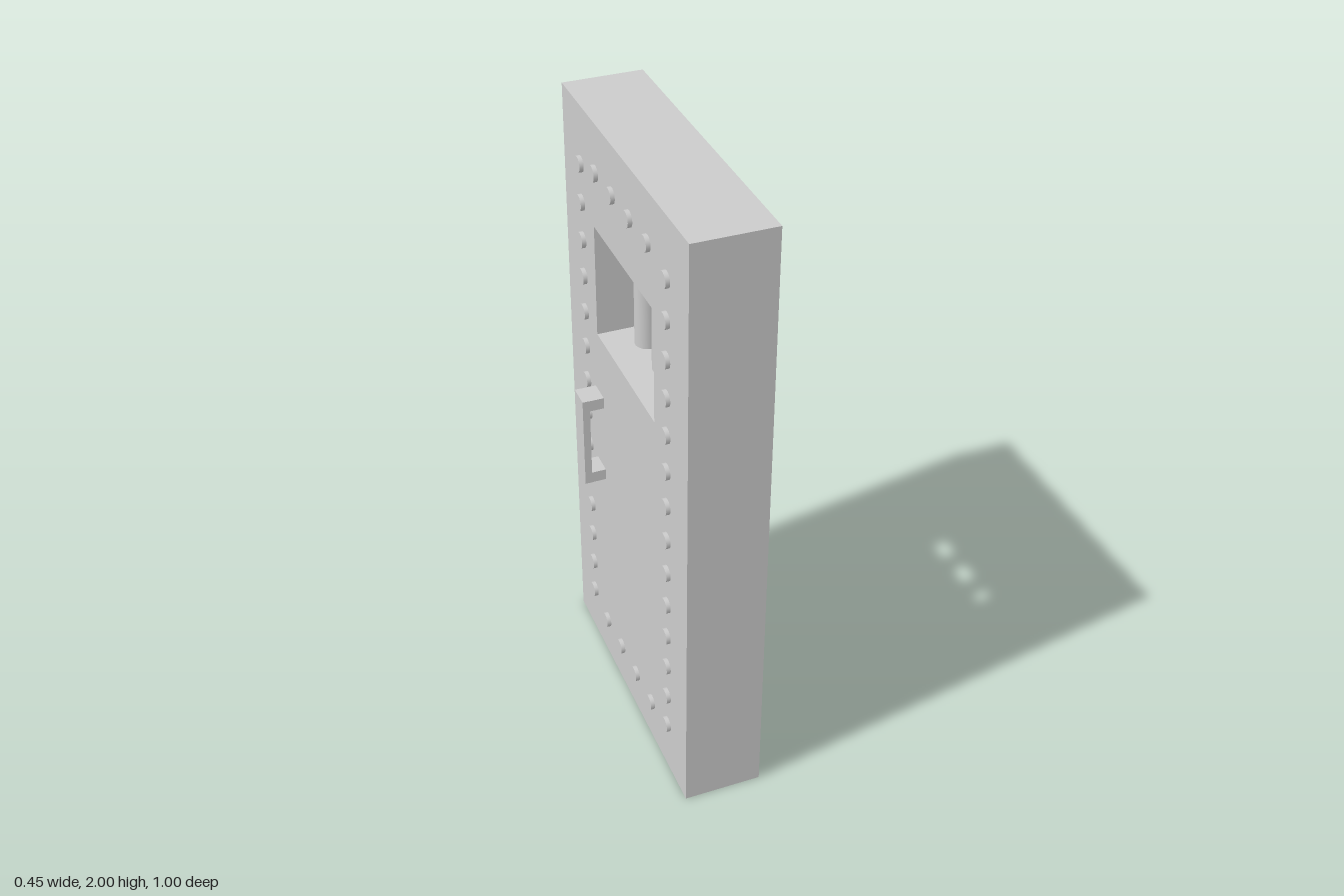
import * as THREE from 'three';

const grey = new THREE.MeshStandardMaterial({ color: 0xcccccc });

function rectPath(PathType, a0, y0, a1, y1) {
  const p = new PathType();
  p.moveTo(a0, y0);
  p.lineTo(a1, y0);
  p.lineTo(a1, y1);
  p.lineTo(a0, y1);
  p.closePath();
  return p;
}

// Rectangle with a rectangular hole, extruded by depth
function holedRect(outer, hole, depth) {
  const shape = rectPath(THREE.Shape, ...outer);
  shape.holes.push(rectPath(THREE.Path, ...hole));
  return new THREE.ExtrudeGeometry(shape, { depth, bevelEnabled: false });
}

function add(parent, name, geometry, x = 0, y = 0, z = 0) {
  const mesh = new THREE.Mesh(geometry, grey);
  mesh.name = name;
  mesh.position.set(x, y, z);
  parent.add(mesh);
  return mesh;
}

export function createModel() {
  const model = new THREE.Group();
  model.name = 'cellDoor';
  const back = -0.157, face = 0.093, frameFace = 0.142;

  // Thick door slab with the window opening
  const slab = holedRect([-0.5, 0, 0.5, 2], [-0.244, 1.29, 0.244, 1.66], face - back);
  add(model, 'doorSlab', slab.rotateY(Math.PI / 2), back);

  // Raised border on the outer face
  const border = holedRect([-0.379, 0.127, 0.379, 1.88], [-0.317, 0.19, 0.317, 1.817], frameFace - face);
  add(model, 'raisedBorder', border.rotateY(Math.PI / 2), face);

  // Window bars
  const bars = new THREE.Group();
  bars.name = 'windowBars';
  model.add(bars);
  const barGeo = new THREE.CylinderGeometry(0.038, 0.038, 0.37, 32, 1, true);
  for (const z of [-0.148, 0, 0.148]) add(bars, 'windowBar', barGeo, (back + face) / 2, 1.475, z);

  // Rivets around the border, on both faces
  const rivetGeo = new THREE.CylinderGeometry(0.025, 0.025, 0.013, 24).rotateZ(Math.PI / 2);
  for (const [name, x] of [['frontRivets', frameFace + 0.005], ['backRivets', back - 0.0065]]) {
    const rivets = new THREE.Group();
    rivets.name = name;
    model.add(rivets);
    for (let i = 0; i < 14; i++) {
      for (const z of [-0.345, 0.345]) add(rivets, 'rivet', rivetGeo, x, 0.187 + i * 0.1252, z);
    }
    for (let i = 0; i < 4; i++) {
      for (const y of [0.152, 1.846]) add(rivets, 'rivet', rivetGeo, x, y, -0.217 + i * 0.14);
    }
  }

  // Pull handle: a grip held off the face by two legs
  function handle(name, base, tip, z) {
    const dir = Math.sign(tip - base);
    const group = new THREE.Group();
    group.name = name;
    model.add(group);
    const width = 0.075, grip = 0.023, legLength = Math.abs(tip - base) - grip;
    add(group, 'grip', new THREE.BoxGeometry(grip, 0.315, width), tip - dir * grip / 2, 0.925, z);
    const legGeo = new THREE.BoxGeometry(legLength, 0.038, width);
    for (const y of [0.787, 1.063]) add(group, 'handleLeg', legGeo, base + dir * legLength / 2, y, z);
  }
  handle('frontHandle', face, 0.181, -0.236);
  handle('backHandle', back, -0.226, -0.238);

  // Square bolt guides above and below the front handle
  const guideGeo = holedRect([face, -0.048, 0.222, 0.048], [0.152, -0.036, 0.207, 0.036], 0.096);
  for (const y of [0.678, 1.177]) add(model, 'boltGuide', guideGeo, 0, y, -0.284);

  return model;
}
